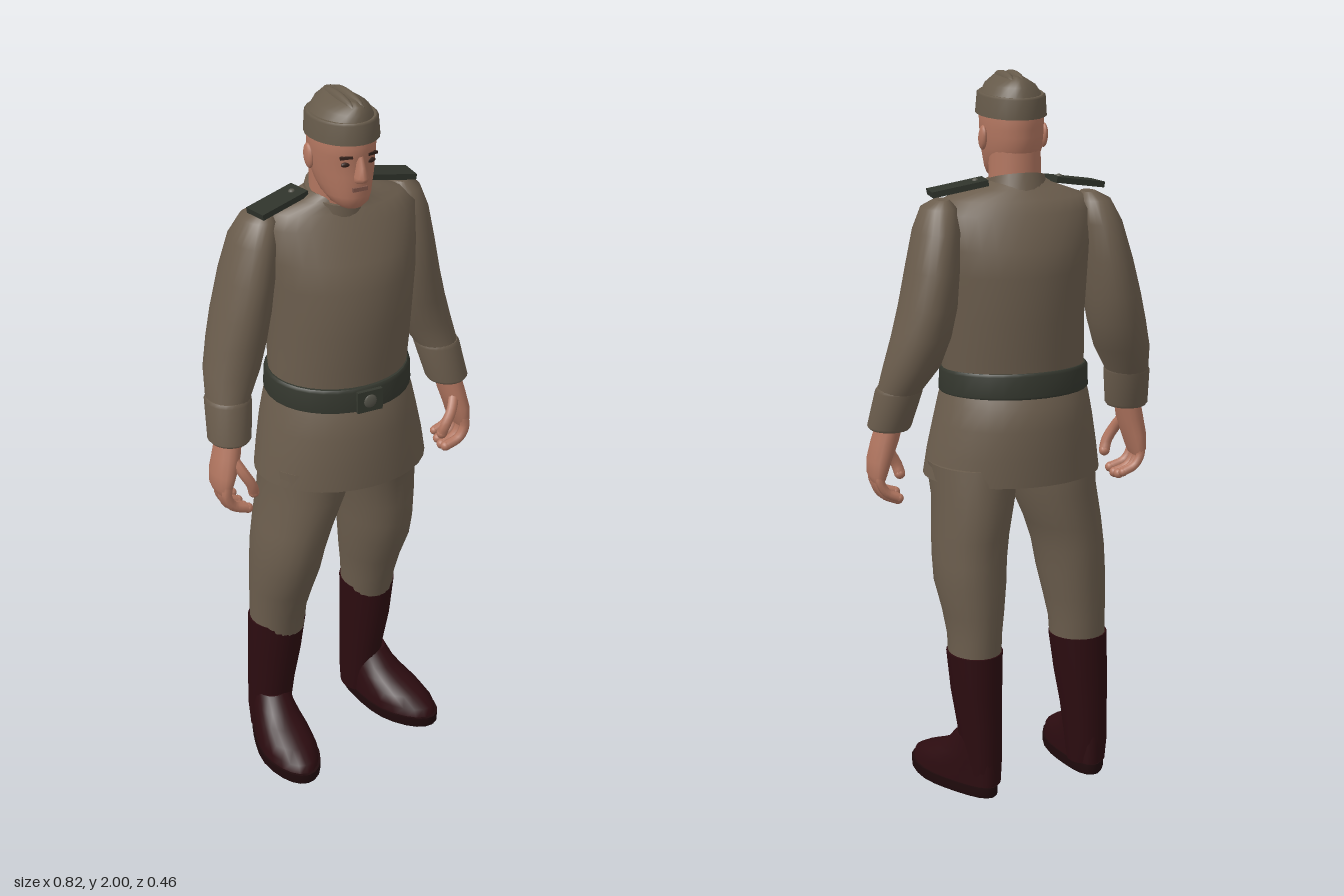
import * as THREE from 'three';

const mat = (name, color, extra) => {
  const m = new THREE.MeshStandardMaterial({ color, ...extra });
  m.name = name;
  return m;
};

// Skin over horizontal rings, listed top to bottom: [y, centreX, centreZ, radiusX, radiusZ]
function loft(rings, { sides = 24, slope = 0, warp } = {}) {
  const pos = [], idx = [], v = new THREE.Vector3();
  const list = [...rings].reverse();
  const push = (r, a, k = 1) => {
    const dz = r[4] * Math.sin(a) * k;
    v.set(r[1] + r[3] * Math.cos(a) * k, r[0] + slope * dz, r[2] + dz);
    if (warp) warp(v);
    pos.push(v.x, v.y, v.z);
  };
  const ring = r => { for (let j = 0; j < sides; j++) push(r, (j / sides) * Math.PI * 2); };
  list.forEach(ring);
  for (let i = 0; i < list.length - 1; i++) for (let j = 0; j < sides; j++) {
    const a = i * sides + j, b = i * sides + (j + 1) % sides;
    idx.push(a, a + sides, b, b, a + sides, b + sides);
  }
  // End caps with their own vertices keep the rims crisp
  [list[0], list[list.length - 1]].forEach((r, top) => {
    const s = pos.length / 3;
    ring(r);
    push(r, 0, 0);
    for (let j = 0; j < sides; j++) {
      const a = s + j, b = s + (j + 1) % sides, c = s + sides;
      idx.push(...(top ? [a, c, b] : [a, b, c]));
    }
  });
  const g = new THREE.BufferGeometry();
  g.setAttribute('position', new THREE.Float32BufferAttribute(pos, 3));
  g.setIndex(idx);
  g.computeVertexNormals();
  return g;
}

export function createModel() {
  const root = new THREE.Group();
  root.name = 'soldier';
  const cloth = mat('uniform cloth', 0x6b5d4d);
  const capCloth = mat('cap cloth', 0x665a4a);
  const skin = mat('skin', 0xb27660);
  const boot = mat('boot leather', 0x2c0c10);
  const soleMat = mat('boot sole', 0x1f0a0c);
  const belt = mat('belt leather', 0x34372e);
  const board = mat('shoulder board', 0x2f332b);
  const metal = mat('dull metal', 0x55544a);
  const dark = mat('eyes and brows', 0x35221c);
  const lip = mat('lips', 0x81574a);

  const add = (name, geo, material, parent = root) => {
    const m = new THREE.Mesh(geo, material);
    m.name = name;
    parent.add(m);
    return m;
  };
  const ball = (name, material, p, s, parent) => {
    const m = add(name, new THREE.SphereGeometry(1, 14, 10), material, parent);
    m.position.set(...p);
    m.scale.set(...s);
    return m;
  };

  // Tunic, skirt, collar
  add('tunic', loft([
    [1.72, -.015, -.035, .075, .075], [1.70, -.01, -.045, .12, .082], [1.675, -.005, -.052, .195, .098],
    [1.64, 0, -.05, .228, .125], [1.55, 0, -.045, .222, .163], [1.48, 0, -.035, .213, .179],
    [1.35, -.003, -.03, .203, .177], [1.25, -.008, -.027, .2, .167], [1.16, -.012, -.025, .195, .16],
  ], { sides: 32 }), cloth);
  add('tunicSkirt', loft([
    [1.17, -.012, -.025, .198, .165], [1.12, -.011, -.026, .21, .188], [1.06, -.01, -.025, .222, .199],
    [.98, -.008, -.022, .237, .201], [.905, -.007, -.02, .248, .2],
  ], { sides: 32 }), cloth);
  add('collar', loft([[1.72, -.015, -.03, .079, .083], [1.655, -.015, -.038, .092, .095]], { slope: -.3 }), cloth);

  // Belt and buckle
  add('belt', loft([
    [1.208, -.012, -.025, .2, .171], [1.2, -.012, -.025, .206, .177],
    [1.145, -.012, -.025, .208, .181], [1.137, -.012, -.025, .203, .176],
  ], { sides: 32, slope: -.05 }), belt);
  const buckle = add('buckle', new THREE.BoxGeometry(.075, .062, .012), belt);
  buckle.position.set(-.005, 1.163, .156);
  ball('buckleBoss', metal, [-.005, 1.163, .161], [.02, .02, .006]);

  // Neck and head
  add('neck', loft([[1.82, -.015, -.02, .07, .08], [1.66, -.015, -.03, .07, .072]]), skin);
  const head = new THREE.Group();
  head.name = 'head';
  root.add(head);
  add('face', loft([
    [1.92, -.015, .005, .08, .112], [1.88, -.015, .006, .085, .116], [1.855, -.015, .007, .084, .116],
    [1.835, -.015, .005, .083, .111], [1.8, -.015, .007, .08, .111], [1.765, -.015, .016, .072, .1],
    [1.74, -.015, .032, .064, .083], [1.72, -.015, .052, .052, .058], [1.705, -.015, .062, .032, .036],
  ]), skin, head);
  add('nose', loft([
    [1.857, -.015, .115, .009, .01], [1.83, -.015, .118, .012, .018],
    [1.803, -.015, .12, .018, .029], [1.79, -.015, .118, .019, .022], [1.784, -.015, .115, .012, .012],
  ], { sides: 10 }), skin, head);
  const mouth = add('mouth', new THREE.BoxGeometry(.042, .011, .009), lip, head);
  mouth.position.set(-.015, 1.766, .115);
  for (const s of [-1, 1]) {
    ball('eye', dark, [-.015 + s * .036, 1.836, .105], [.014, .007, .006], head);
    const brow = add('brow', new THREE.BoxGeometry(.034, .007, .009), dark, head);
    brow.position.set(-.015 + s * .037, 1.857, .111);
    brow.rotation.set(0, s * .35, -s * .08);
    ball('ear', skin, [-.015 + s * .085, 1.828, -.012], [.011, .034, .022], head).rotation.x = -.2;
  }

  // Side cap with folded band and creased crown
  add('capBand', loft([
    [1.945, -.015, .008, .084, .115], [1.94, -.015, .008, .09, .121], [1.888, -.015, .01, .094, .123],
  ], { slope: .04 }), capCloth, head);
  add('capCrown', loft([
    [1.991, -.012, .012, .012, .07], [1.984, -.012, .012, .036, .092],
    [1.966, -.013, .01, .064, .106], [1.935, -.015, .008, .083, .114],
  ]), capCloth, head);
  for (const s of [-1, 1]) ball('capRidge', capCloth, [-.012 + s * .014, 1.976, .015], [.015, .024, .088], head);

  // Arms, cuffs and hands; the right side reaches forward a little
  for (const s of [-1, 1]) {
    const side = s > 0 ? 'left' : 'right';
    const warp = v => {
      if (s > 0) return;
      const k = THREE.MathUtils.clamp((1.69 - v.y) / .63, 0, 1);
      v.x -= .005 + .024 * Math.sin(Math.PI * k);
      v.z += .015 + .04 * k;
    };
    const part = (name, rings, material, sides) =>
      add(side + name, loft(rings.map(([y, x, ...r]) => [y, x * s, ...r]), { warp, sides }), material);
    part('Sleeve', [
      [1.68, .205, -.08, .02, .03], [1.66, .213, -.082, .048, .062], [1.6, .222, -.09, .063, .09],
      [1.5, .235, -.095, .071, .105], [1.4, .25, -.1, .078, .105], [1.32, .268, -.1, .08, .096],
      [1.24, .293, -.095, .077, .083], [1.17, .323, -.075, .06, .068], [1.1, .338, -.058, .053, .057],
    ], cloth);
    part('Cuff', [
      [1.175, .324, -.073, .059, .066], [1.165, .325, -.072, .064, .07],
      [1.065, .347, -.05, .06, .063], [1.057, .347, -.05, .054, .058],
    ], cloth);
    part('Palm', [
      [1.08, .345, -.052, .036, .044], [1.02, .36, -.045, .037, .05],
      [.97, .374, -.04, .033, .057], [.93, .381, -.04, .026, .056], [.91, .381, -.04, .017, .05],
    ], skin, 16);

    const finger = (name, radius, pts) => {
      const path = pts.map(p => {
        const v = new THREE.Vector3(p[0] * s, p[1], p[2]);
        warp(v);
        return v;
      });
      add(name, new THREE.TubeGeometry(new THREE.CatmullRomCurve3(path), 10, radius, 8), skin);
      ball(name + 'Tip', skin, path[path.length - 1].toArray(), [radius, radius, radius]);
    };
    for (let i = 0; i < 4; i++) {
      const z = -.082 + i * .028, drop = [.015, .004, 0, .008][i];
      finger(side + 'Finger', i ? .0145 : .0125, [
        [.38, .94, z], [.382, .9 + drop, z], [.364, .868 + drop, z], [.33 - i * .003, .851 + drop, z]]);
    }
    finger(side + 'Thumb', .0155, [[.358, 1.02, -.02], [.335, .975, .008], [.313, .935, .014], [.305, .908, .008]]);
  }

  // Shoulder boards with a button each
  for (const [x, y, z, ry, rz] of [[.157, 1.708, -.07, -.03, -.17], [-.18, 1.704, -.035, .25, .17]]) {
    const g = new THREE.Group();
    g.name = 'shoulderBoard';
    g.position.set(x, y, z);
    g.rotation.set(0, ry, rz);
    root.add(g);
    add('boardPlate', new THREE.BoxGeometry(.155, .016, .069), board, g);
    ball('boardButton', metal, [-Math.sign(x) * .05, .008, 0], [.009, .006, .009], g);
  }

  // Breeches
  add('leftLeg', loft([
    [.95, .11, -.03, .125, .16], [.85, .114, -.055, .113, .15], [.75, .124, -.06, .106, .14],
    [.68, .128, -.065, .102, .136], [.61, .129, -.075, .099, .127], [.53, .125, -.09, .085, .11],
    [.46, .124, -.1, .075, .096], [.38, .126, -.11, .073, .085],
  ]), cloth);
  add('rightLeg', loft([
    [.95, -.12, -.01, .125, .145], [.85, -.13, -.012, .12, .148], [.75, -.16, -.01, .107, .14],
    [.68, -.175, -.012, .1, .134], [.61, -.182, -.018, .096, .124], [.53, -.19, -.03, .088, .105],
    [.46, -.195, -.04, .08, .09], [.38, -.197, -.045, .078, .08],
  ]), cloth);

  // Boots: shaft, foot and sole
  const makeBoot = (side, shaft, heel, turn) => {
    add(side + 'BootShaft', loft(shaft), boot);
    const foot = new THREE.Group();
    foot.name = side + 'Foot';
    foot.position.set(heel[0], 0, heel[1]);
    foot.rotation.y = turn;
    root.add(foot);
    // Narrow heel, broad ball of the foot
    const warp = v => { v.x *= .8 + .25 * THREE.MathUtils.smoothstep(v.z, .05, .26); };
    add('bootUpper', loft([
      [.17, 0, .08, .062, .07], [.13, 0, .098, .066, .092], [.105, 0, .122, .07, .118],
      [.08, 0, .152, .074, .149], [.055, 0, .175, .077, .173], [.025, 0, .18, .077, .178],
    ], { warp }), boot, foot);
    add('bootSole', loft([
      [.032, 0, .182, .081, .183], [.006, 0, .182, .081, .183], [0, 0, .182, .077, .178],
    ], { warp }), soleMat, foot);
  };
  makeBoot('left', [
    [.415, .127, -.11, .078, .09], [.3, .123, -.114, .071, .085],
    [.2, .117, -.122, .062, .076], [.1, .112, -.128, .056, .07], [.03, .11, -.13, .05, .062],
  ], [.1, -.2], .34);
  makeBoot('right', [
    [.415, -.197, -.045, .083, .083], [.3, -.205, -.05, .076, .08],
    [.2, -.213, -.056, .067, .073], [.1, -.219, -.06, .061, .068], [.03, -.22, -.06, .054, .06],
  ], [-.218, -.133], -.04);

  return root;
}
